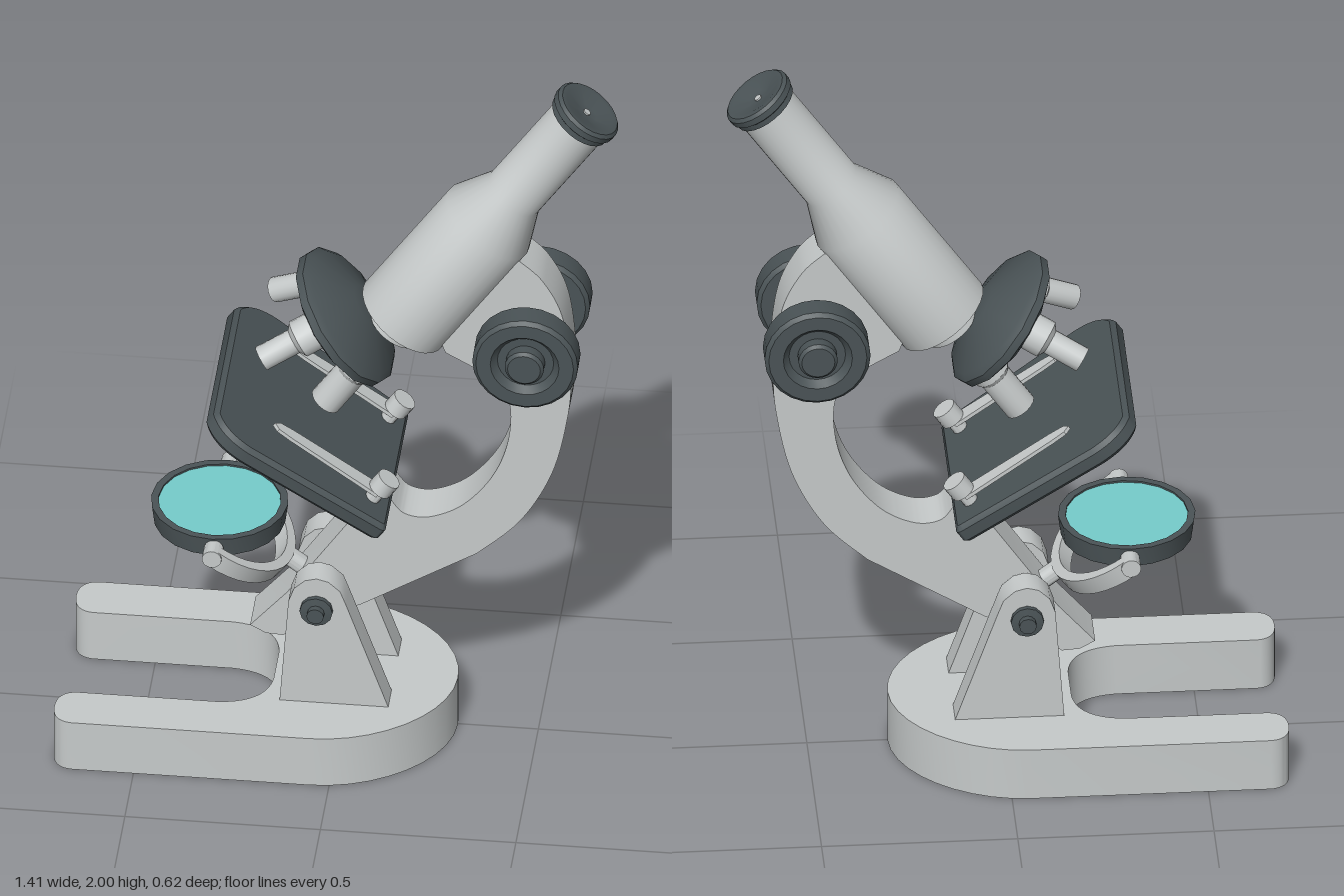
import * as THREE from 'three';
import { toCreasedNormals } from 'three/addons/utils/BufferGeometryUtils.js';

const material = (name, color) => {
  const m = new THREE.MeshStandardMaterial({ color });
  m.name = name;
  return m;
};
const rad = THREE.MathUtils.degToRad;

export function createModel() {
  const model = new THREE.Group();
  model.name = 'microscope';
  const light = material('light grey enamel', 0xc6caca);
  const dark = material('dark grey', 0x4a5356);
  const teal = material('mirror teal', 0x76cccb);

  const add = (parent, name, geo, mat, x = 0, y = 0, z = 0) => {
    const mesh = new THREE.Mesh(toCreasedNormals(geo, 0.55), mat);
    mesh.name = name;
    mesh.position.set(x, y, z);
    parent.add(mesh);
    return mesh;
  };
  const group = (parent, name, x, y, z) => {
    const g = new THREE.Group();
    g.name = name;
    g.position.set(x, y, z);
    parent.add(g);
    return g;
  };
  const lathe = (pts, sides = 28) =>
    new THREE.LatheGeometry(pts.map(([r, y]) => new THREE.Vector2(r, y)), sides);
  const rod = (r, len, sides = 16) => new THREE.CylinderGeometry(r, r, len, sides);
  const polygon = (pts) => new THREE.Shape(pts.map(([x, y]) => new THREE.Vector2(x, y)));
  const slab = (shape, depth, bevel = 0) => new THREE.ExtrudeGeometry(shape, {
    depth: depth - 2 * bevel, bevelEnabled: bevel > 0, bevelSize: bevel,
    bevelThickness: bevel, bevelOffset: -bevel, bevelSegments: 1, curveSegments: 10,
  }).translate(0, 0, bevel);

  // Horseshoe base
  const u = new THREE.Shape();
  u.moveTo(-0.05, 0.31);
  u.bezierCurveTo(0.12, 0.31, 0.295, 0.17, 0.295, 0);
  u.bezierCurveTo(0.295, -0.17, 0.12, -0.31, -0.05, -0.31);
  u.lineTo(-0.66, -0.31);
  u.quadraticCurveTo(-0.71, -0.305, -0.71, -0.243);
  u.quadraticCurveTo(-0.71, -0.18, -0.66, -0.175);
  u.lineTo(-0.3, -0.175);
  u.quadraticCurveTo(-0.18, -0.165, -0.17, -0.06);
  u.lineTo(-0.17, 0.06);
  u.quadraticCurveTo(-0.18, 0.165, -0.3, 0.175);
  u.lineTo(-0.66, 0.175);
  u.quadraticCurveTo(-0.71, 0.18, -0.71, 0.243);
  u.quadraticCurveTo(-0.71, 0.305, -0.66, 0.31);
  add(model, 'base', slab(u, 0.145).rotateX(-Math.PI / 2), light);

  // Upright brackets with the pivot bolts
  const bracket = polygon([[-0.145, 0.14], [0.135, 0.14], [0.025, 0.455], [0.01, 0.495],
    [-0.02, 0.522], [-0.05, 0.53], [-0.08, 0.522], [-0.108, 0.495], [-0.122, 0.455]]);
  for (const s of [1, -1]) {
    add(model, 'bracket', slab(bracket, 0.075), light, 0, 0, s > 0 ? 0.075 : -0.15);
    add(model, 'pivotBolt', lathe([[0, 0], [0.042, 0], [0.042, 0.015], [0.022, 0.018],
      [0.022, 0.035], [0, 0.035]], 12), dark, -0.05, 0.435, s * 0.148).rotation.x = s * Math.PI / 2;
  }
  add(model, 'pivotShaft', rod(0.03, 0.2), dark, -0.05, 0.435).rotation.x = Math.PI / 2;

  // Curved arm, with the ledge that carries the stage
  const arm = new THREE.Shape();
  arm.moveTo(0.4, 1.5);
  arm.lineTo(0.46, 1.5);
  arm.splineThru([[0.52, 1.44], [0.57, 1.33], [0.59, 1.15], [0.58, 1.01], [0.54, 0.84],
    [0.46, 0.69], [0.35, 0.58]].map((p) => new THREE.Vector2(...p)));
  for (const p of [[0.05, 0.395], [-0.05, 0.36], [-0.145, 0.285], [-0.19, 0.288], [-0.23, 0.31],
    [-0.135, 0.42], [0.055, 0.7], [0.013, 0.735], [0.04, 0.79], [0.13, 0.73]]) arm.lineTo(...p);
  arm.splineThru([[0.165, 0.69], [0.23, 0.685], [0.315, 0.73], [0.39, 0.825], [0.43, 0.94],
    [0.432, 1.06], [0.385, 1.13], [0.27, 1.2]].map((p) => new THREE.Vector2(...p)));
  arm.lineTo(0.25, 1.25);
  add(model, 'arm', slab(arm, 0.124), light, 0, 0, -0.062);

  // Focus knobs on their axle
  const knob = [[0, 0], [0.125, 0], [0.135, 0.01], [0.135, 0.07], [0.125, 0.08], [0.088, 0.08],
    [0.072, 0.06], [0.05, 0.06], [0.05, 0.088], [0.042, 0.096], [0, 0.096]];
  for (const s of [1, -1])
    add(model, 'focusKnob', lathe(knob, 24), dark, 0.485, 1.255, s * 0.095).rotation.x = s * Math.PI / 2;
  add(model, 'focusAxle', rod(0.05, 0.22), light, 0.485, 1.255).rotation.x = Math.PI / 2;

  // Everything along the tilted optical axis; its origin is the lower end of the tube
  const optics = group(model, 'opticalAssembly', 0.156, 1.267, 0);
  optics.rotation.z = -rad(35);
  add(optics, 'tube', lathe([[0, -0.045], [0.075, -0.045], [0.075, 0], [0.128, 0], [0.128, 0.377],
    [0.078, 0.493], [0.078, 0.8], [0, 0.8]]), light);
  add(optics, 'eyepiece', lathe([[0.07, 0.785], [0.086, 0.785], [0.086, 0.8], [0.093, 0.805],
    [0.093, 0.822], [0.085, 0.83], [0.07, 0.83], [0.03, 0.815], [0, 0.815]], 24), dark);
  add(optics, 'eyeLens', rod(0.01, 0.006, 12), light, 0, 0.816);

  // Stage plate, wider and rounder at its free edge
  const plate = new THREE.Shape();
  plate.moveTo(0.27, -0.25);
  plate.lineTo(0.27, 0.25);
  plate.quadraticCurveTo(0.268, 0.262, 0.25, 0.264);
  plate.lineTo(-0.15, 0.296);
  plate.quadraticCurveTo(-0.24, 0.297, -0.27, 0.23);
  plate.lineTo(-0.27, -0.23);
  plate.quadraticCurveTo(-0.24, -0.297, -0.15, -0.296);
  plate.lineTo(0.25, -0.264);
  plate.quadraticCurveTo(0.268, -0.262, 0.27, -0.25);
  add(optics, 'stage', slab(plate, 0.055, 0.012).rotateX(-Math.PI / 2), dark, 0, -0.46);

  // Specimen clips and their posts
  const clip = polygon([[0.21, -0.024], [0.21, 0.024], [-0.06, 0.018], [-0.1, 0.014],
    [-0.115, 0], [-0.1, -0.014], [-0.06, -0.018]]);
  for (const z of [0.175, -0.175]) {
    add(optics, 'stageClip', slab(clip, 0.01).rotateX(-Math.PI / 2), light, 0, -0.384, z);
    add(optics, 'clipPost', lathe([[0, -0.41], [0.02, -0.41], [0.02, -0.375], [0.032, -0.372],
      [0.032, -0.33], [0, -0.33]], 14), light, 0.21, 0, z);
  }

  // Revolving nosepiece with three objectives
  const turret = group(model, 'nosepiece', 0.01, 1.25, 0);
  turret.rotation.z = -rad(53);
  add(turret, 'turretDisc', lathe([[0, -0.052], [0.06, -0.052], [0.15, -0.038], [0.192, -0.016],
    [0.192, 0.006], [0.175, 0.02], [0.055, 0.066], [0, 0.066]], 14), dark);
  [0, 120, 240].forEach((deg, i) => {
    const mount = group(turret, 'objectiveMount', 0, 0, 0);
    mount.rotation.y = rad(deg);
    const len = i === 0 ? -0.215 : -0.195;
    const r = i === 0 ? 0.042 : 0.033;
    add(mount, 'objective', lathe([[0, len], [r, len], [r, -0.1], [0.05, -0.088],
      [0.05, 0], [0, 0]], 16), light, 0.115).rotation.z = rad(18);
  });

  // Mirror: dark dish with a teal face
  const mirror = group(model, 'mirror', -0.315, 0.587, 0);
  add(mirror, 'mirrorDish', lathe([[0, 0], [0.155, 0], [0.168, 0.008], [0.175, 0.063],
    [0.156, 0.063], [0.156, 0.052], [0, 0.052]], 20), dark);
  add(mirror, 'mirrorGlass', rod(0.156, 0.006, 20), teal, 0, 0.055);

  // Half-ring yoke that holds the mirror
  const yoke = group(model, 'mirrorYoke', -0.31, 0.62, 0);
  yoke.rotation.z = -rad(37);
  const ring = new THREE.Shape();
  ring.absarc(0, 0, 0.217, -Math.PI / 2, Math.PI / 2, false);
  ring.absarc(0, 0, 0.19, Math.PI / 2, -Math.PI / 2, true);
  add(yoke, 'yokeRing', slab(ring, 0.05).translate(0, 0, -0.025).rotateX(Math.PI / 2), light);
  for (const s of [1, -1])
    add(yoke, 'yokePin', rod(0.025, 0.05), light, 0, 0, s * 0.197).rotation.x = Math.PI / 2;
  add(yoke, 'yokeStem', rod(0.025, 0.12), light, 0.26).rotation.z = Math.PI / 2;

  return model;
}
